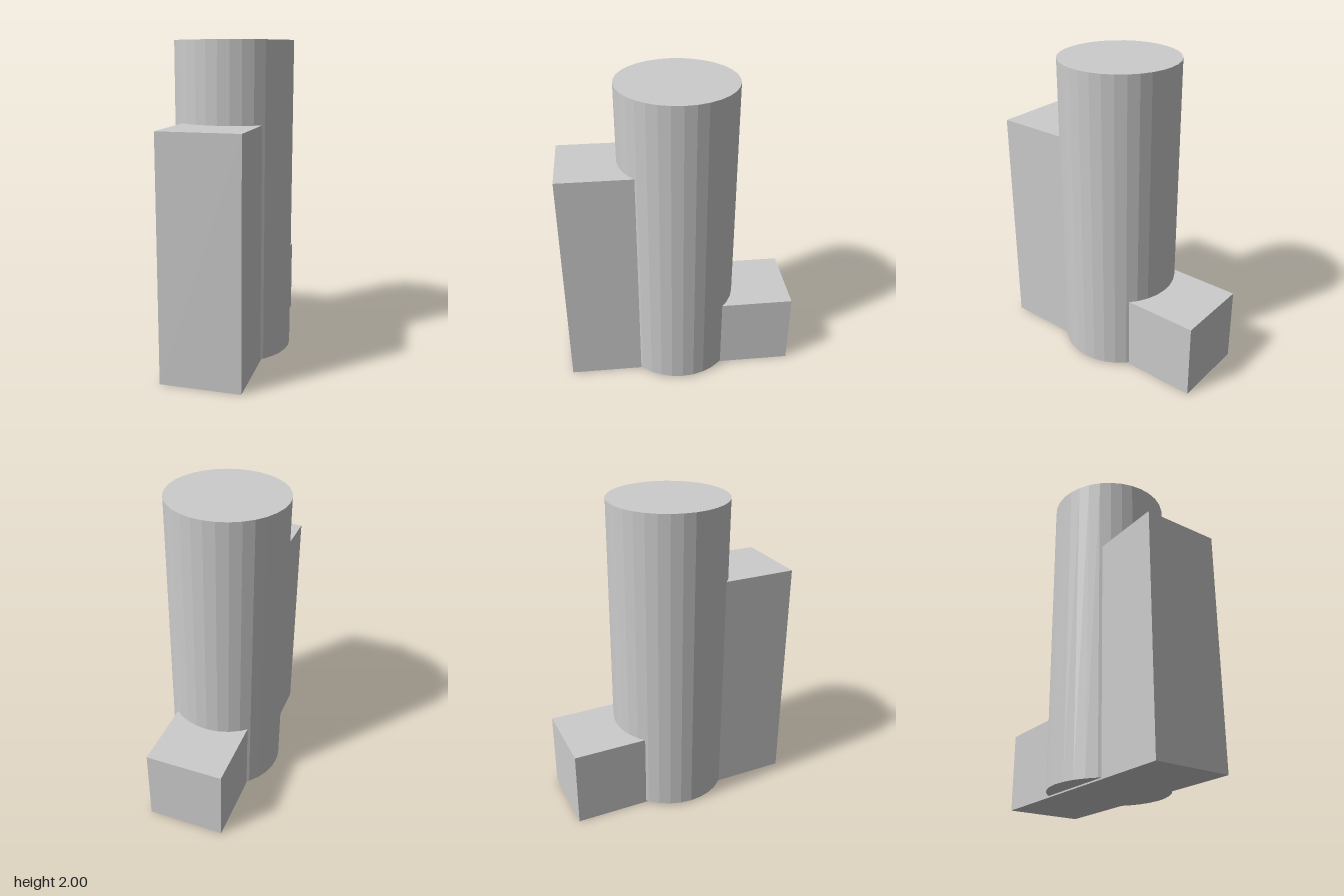
import * as THREE from 'three';

export function createModel() {
  const group = new THREE.Group();
  const material = new THREE.MeshStandardMaterial({ color: 0xcccccc, flatShading: true });

  const add = (name, geometry, x, y, z) => {
    const mesh = new THREE.Mesh(geometry, material);
    mesh.name = name;
    mesh.position.set(x, y, z);
    group.add(mesh);
  };

  // Round central column, its underside just above the ground
  const bottom = 0.01, top = 2;
  add('column', new THREE.CylinderGeometry(0.375, 0.375, top - bottom, 32), 0, (top + bottom) / 2, 0);

  // Tall block in front and low block behind, meeting inside the column
  const width = 0.5, depth = 0.75;
  for (const [name, height, side] of [['frontBlock', 1.5, 1], ['backBlock', 0.5, -1]]) {
    add(name, new THREE.BoxGeometry(width, height, depth), 0, height / 2, side * depth / 2);
  }

  return group;
}
